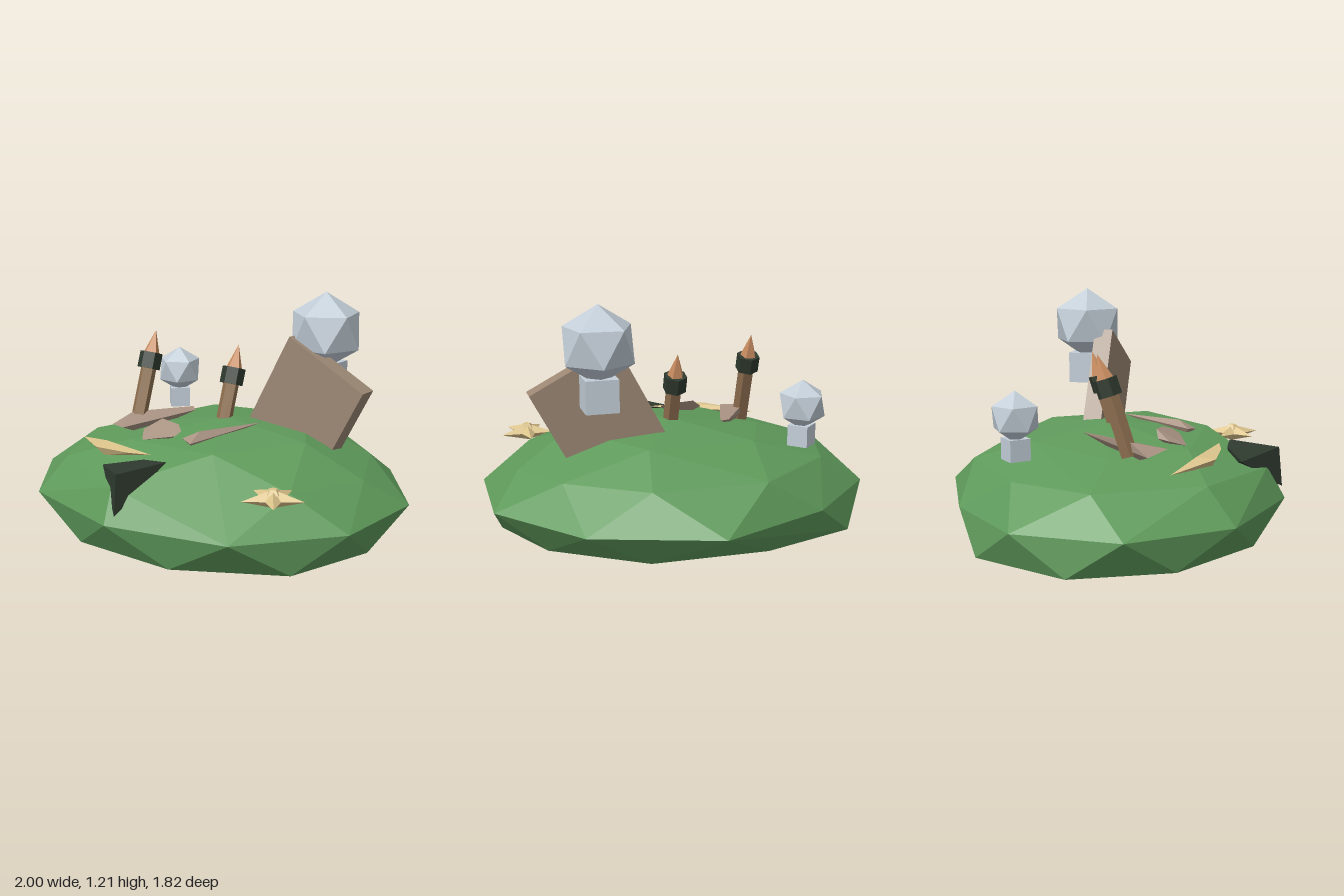
import * as THREE from 'three';
import { ConvexGeometry } from 'three/addons/geometries/ConvexGeometry.js';

const GREEN = 0x5f9a5b, STONE = 0x9c8874, PINK = 0xa89282, DARK = 0x2f3a2f;
const SILVER = 0xc3ced8, WOOD = 0x8f7050, COPPER = 0xcb8f62, SAND = 0xdcc48c;

function add(parent, name, geometry, color, pos = [0, 0, 0], rot = [0, 0, 0]) {
  const mesh = new THREE.Mesh(geometry, new THREE.MeshStandardMaterial({ color, flatShading: true }));
  mesh.name = name;
  mesh.position.set(...pos);
  mesh.rotation.set(...rot);
  parent.add(mesh);
  return mesh;
}

// Faceted solid around a few corner points
const hull = (points) => new ConvexGeometry(points.map((p) => new THREE.Vector3(...p)));

// Double-sided star: ring of tips and notches joined to an upper and a lower apex
function starGeometry(outer, inner, height) {
  const ring = [], pos = [];
  for (let i = 0; i < 10; i++) {
    const a = (i / 10) * Math.PI * 2, r = i % 2 ? inner : outer;
    ring.push([Math.sin(a) * r, 0, -Math.cos(a) * r]);
  }
  for (let i = 0; i < 10; i++) {
    const a = ring[i], b = ring[(i + 1) % 10];
    pos.push(...b, ...a, 0, height, 0, ...a, ...b, 0, -height, 0);
  }
  const g = new THREE.BufferGeometry();
  g.setAttribute('position', new THREE.Float32BufferAttribute(pos, 3));
  g.computeVertexNormals();
  return g;
}

// Ball on a cubic stem
function makeTree(name, x, y, z, r, turn) {
  const tree = new THREE.Group();
  tree.name = name;
  tree.position.set(x, y, z);
  const ball = new THREE.IcosahedronGeometry(r, 0);
  ball.rotateZ(Math.atan(2 / (1 + Math.sqrt(5)))); // one vertex straight up
  add(tree, 'crown', ball, SILVER, [0, 0, 0], [0, 0.25, 0]);
  const s = r * 0.84;
  add(tree, 'stem', new THREE.BoxGeometry(s, s, s), SILVER, [0, -r * 0.8 - s / 2, 0], [0, turn, 0]);
  return tree;
}

// Leaning post with a dark collar and a pointed cap; origin at the collar
function makePost(name, x, y, z) {
  const post = new THREE.Group();
  post.name = name;
  post.position.set(x, y, z);
  post.rotation.x = -0.32;
  add(post, 'shaft', new THREE.CylinderGeometry(0.044, 0.044, 0.33, 5), WOOD, [0, -0.19, 0]);
  add(post, 'collar', new THREE.CylinderGeometry(0.062, 0.062, 0.088, 6), DARK);
  add(post, 'cap', new THREE.ConeGeometry(0.046, 0.13, 5), COPPER, [0, 0.104, 0]);
  return post;
}

export function createModel() {
  const model = new THREE.Group();
  model.name = 'island';

  // Mound: base ring, widest rim, shoulder, upper ring and peak
  const rim = [[0, -0.91], [0.63, -0.71], [1, -0.25], [0.99, 0.3], [0.63, 0.76],
    [0, 0.91], [-0.62, 0.75], [-0.99, 0.3], [-0.97, -0.25], [-0.58, -0.65]];
  const base = [[0.3, -0.65], [0.75, -0.35], [0.93, 0.03], [0.8, 0.5], [0.3, 0.79],
    [-0.28, 0.79], [-0.78, 0.5], [-1, 0.03], [-0.8, -0.48], [-0.3, -0.65]];
  const upper = [
    [0.85, 0.335, -0.05], [0.72, 0.36, 0.4], [0.3, 0.335, 0.68], [-0.03, 0.35, 0.82],
    [-0.55, 0.36, 0.6], [-0.82, 0.355, 0.1], [-0.7, 0.36, -0.33], [-0.28, 0.37, -0.68],
    [0.3, 0.37, -0.68], [0.68, 0.36, -0.4],
    [0.57, 0.5, 0.05], [0.3, 0.485, 0.45], [-0.25, 0.465, 0.45], [-0.5, 0.445, 0.1],
    [-0.32, 0.48, -0.35], [0.25, 0.5, -0.42], [0.03, 0.54, 0],
  ];
  add(model, 'mound', hull([
    ...base.map(([x, z]) => [x, 0, z]),
    ...rim.map(([x, z]) => [x, 0.185, z]),
    ...upper,
  ]), GREEN);

  // Trees, posts and the half-buried slab
  model.add(makeTree('largeTree', 0.465, 1.01, -0.275, 0.2, 0));
  model.add(makeTree('smallTree', -0.58, 0.655, -0.345, 0.13, Math.PI / 4));
  model.add(makePost('frontPost', -0.43, 0.795, 0.08));
  model.add(makePost('backPost', 0.02, 0.745, -0.07));
  add(model, 'slab', new THREE.BoxGeometry(0.5, 0.54, 0.1), STONE, [0.4525, 0.634, -0.15], [0, 0, -0.49]);

  // Stone fragments lying on the ground
  add(model, 'longFragment', hull([[-0.27, 0.53, -0.09], [-0.23, 0.52, -0.07], [-0.37, 0.49, 0.37],
    [-0.51, 0.47, 0.3], [-0.45, 0.53, 0.2], [-0.38, 0.42, 0.2]]), PINK);
  add(model, 'blockFragment', hull([[-0.23, 0.51, 0.29], [-0.18, 0.55, 0.27], [-0.06, 0.54, 0.28],
    [-0.01, 0.52, 0.32], [-0.02, 0.5, 0.36], [-0.18, 0.47, 0.43], [-0.24, 0.5, 0.35], [-0.12, 0.44, 0.34]]), PINK);
  add(model, 'spikeFragment', hull([[0.25, 0.54, -0.01], [0.055, 0.51, 0.39], [0.13, 0.5, 0.42],
    [0.12, 0.545, 0.33], [0.1, 0.46, 0.36]]), PINK);

  // Pale crescent and dark shard near the front edge
  add(model, 'crescent', hull([[-0.6, 0.415, 0.43], [-0.35, 0.455, 0.51], [0, 0.455, 0.565],
    [-0.12, 0.45, 0.595], [-0.34, 0.445, 0.605], [-0.3, 0.4, 0.58]]), SAND);
  add(model, 'darkShard', hull([[-0.19, 0.405, 0.71], [-0.01, 0.44, 0.61], [0.13, 0.45, 0.6],
    [0.05, 0.44, 0.87], [0.05, 0.235, 0.89], [0, 0.35, 0.62]]), DARK);

  // Star resting on the shore
  const star = new THREE.Group();
  star.name = 'star';
  star.position.set(0.715, 0.37, 0.53);
  add(star, 'arms', starGeometry(0.155, 0.062, 0.045), SAND);
  add(star, 'knob', new THREE.CylinderGeometry(0.022, 0.042, 0.025, 5), SAND, [0, 0.035, 0]);
  model.add(star);

  return model;
}
